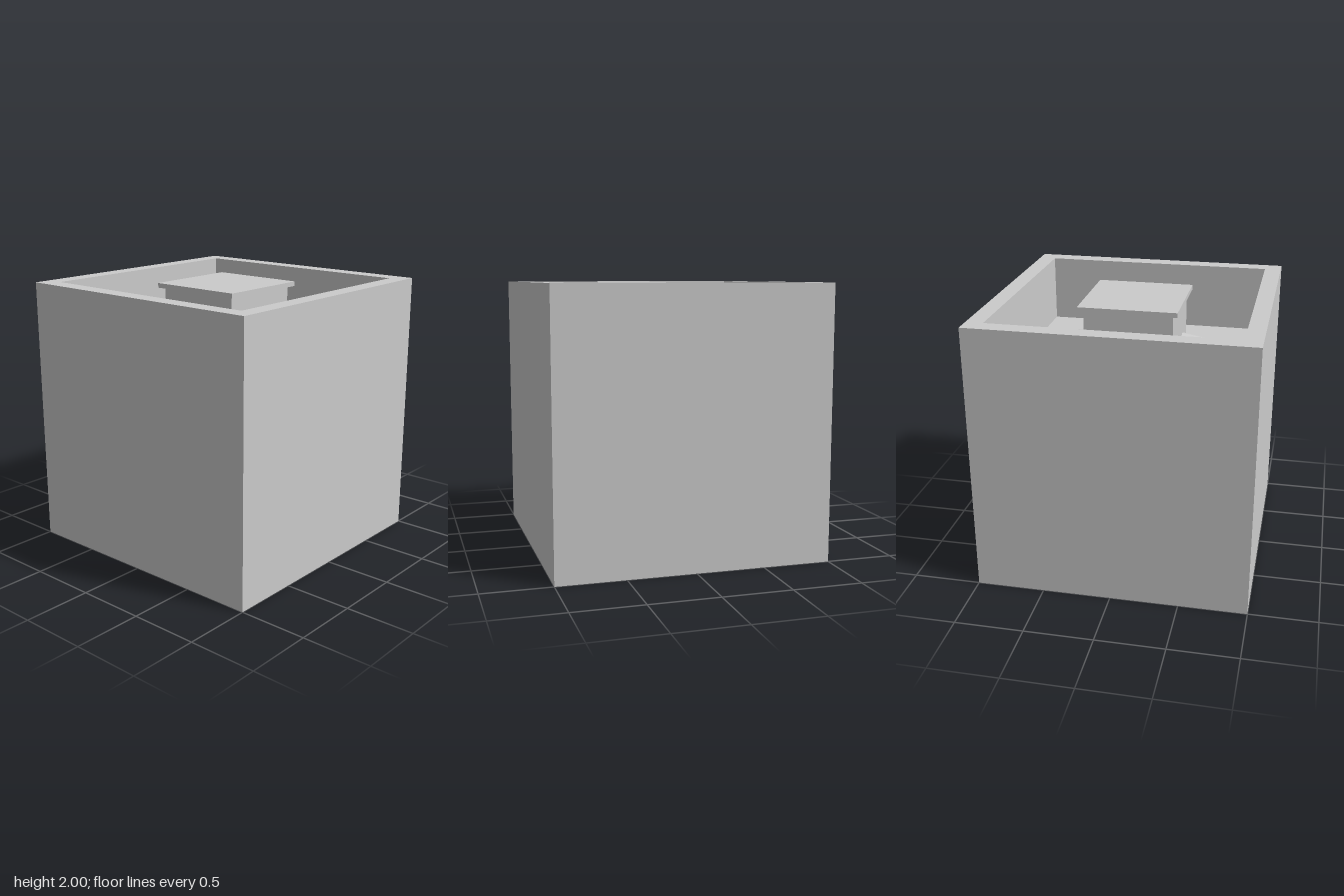
import * as THREE from 'three';

const material = new THREE.MeshStandardMaterial({ color: 0xcccccc, flatShading: true });

function add(parent, name, geometry, x = 0, y = 0, z = 0) {
  const mesh = new THREE.Mesh(geometry, material);
  mesh.name = name;
  mesh.position.set(x, y, z);
  parent.add(mesh);
  return mesh;
}

// Square solid from a half-width / height profile
function squareLathe(profile) {
  const points = profile.map(([half, y]) => new THREE.Vector2(half * Math.SQRT2, y));
  return new THREE.LatheGeometry(points, 4, Math.PI / 4);
}

export function createModel() {
  const model = new THREE.Group();
  model.name = 'squareBasin';

  const wall = 0.875, floorY = 1.49, spoutY = 1.56;

  // Outer block with a recessed square top
  add(model, 'basin', squareLathe([
    [0, 0], [1, 0], [1, 2], [wall, 2], [wall, floorY], [0, floorY],
  ]));

  // Central pillar with an overhanging cap
  add(model, 'pillar', new THREE.BoxGeometry(0.65, 0.5, 0.65), 0, 1.7, 0);
  add(model, 'pillarCap', new THREE.BoxGeometry(0.725, 0.035, 0.725), 0, 1.967, 0);

  // Two tapered spouts on each side of the pillar, partly sunk in the floor
  const inner = 0.315, outer = 0.495;
  const spout = new THREE.CylinderGeometry(0.085, 0.115, outer - inner, 12);
  spout.rotateX(Math.PI / 2);
  for (let side = 0; side < 4; side++) {
    const pair = new THREE.Group();
    pair.name = 'spoutPair';
    pair.rotation.y = side * Math.PI / 2;
    for (const x of [-0.132, 0.132]) {
      add(pair, 'spout', spout, x, spoutY, (inner + outer) / 2);
    }
    model.add(pair);
  }

  return model;
}
